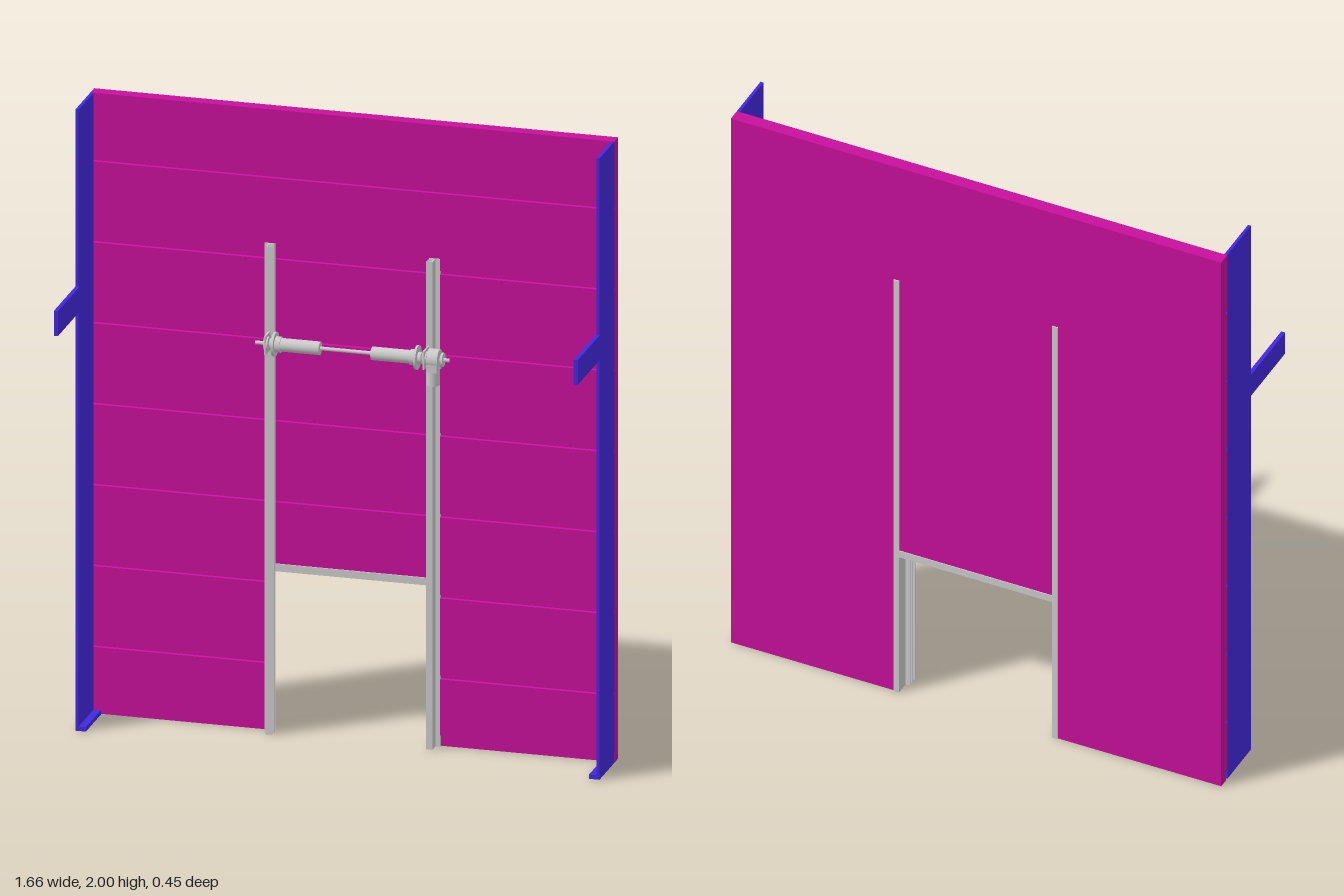
import * as THREE from 'three';

const mat = (color) => new THREE.MeshStandardMaterial({ color });

export function createModel() {
  const root = new THREE.Group();
  const wallMat = mat(0xc8109c), postMat = mat(0x4428e0), grey = mat(0xcccccc);
  const BACK = -0.222, FRONT = -0.18;

  const add = (name, geometry, material, parent = root) => {
    const mesh = new THREE.Mesh(geometry, material);
    mesh.name = name;
    parent.add(mesh);
    return mesh;
  };
  // Box given by its limits on each axis
  const box = (name, [x0, x1], [y0, y1], [z0, z1], material, parent) => {
    const g = new THREE.BoxGeometry(Math.abs(x1 - x0), y1 - y0, z1 - z0);
    g.translate((x0 + x1) / 2, (y0 + y1) / 2, (z0 + z1) / 2);
    return add(name, g, material, parent);
  };

  // Wall piece: grooved side profile (z, y) extruded along x
  const wallPiece = (name, x0, x1, y0) => {
    const pts = [[BACK, y0]];
    if (y0 === 0) pts.push([FRONT - 0.008, 0], [FRONT - 0.008, 0.036], [FRONT, 0.036]);
    else pts.push([FRONT, y0]);
    for (let i = 0; i < 7; i++) {
      const y = 0.222 + i * 0.2605;
      if (y < y0 + 0.02) continue;
      pts.push([FRONT, y - 0.006], [FRONT - 0.008, y - 0.004], [FRONT - 0.008, y + 0.004], [FRONT, y + 0.006]);
    }
    pts.push([FRONT, 2], [BACK, 2]);
    const shape = new THREE.Shape(pts.map(([z, y]) => new THREE.Vector2(z, y)));
    const g = new THREE.ExtrudeGeometry(shape, { depth: x1 - x0, bevelEnabled: false });
    g.rotateY(-Math.PI / 2).translate(x1, 0, 0);
    add(name, g, wallMat);
  };
  wallPiece('wallRight', -0.83, -0.262, 0);
  wallPiece('wallCentre', -0.262, 0.262, 0.53);
  wallPiece('wallLeft', 0.262, 0.83, 0);

  for (const s of [-1, 1]) {
    const side = s > 0 ? 'Left' : 'Right';
    const span = (a, b) => [s * a, s * b];

    // Side post with foot and projecting arm
    const post = new THREE.Group();
    post.name = 'sidePost' + side;
    root.add(post);
    box('postPlate', span(0.82, 0.83), [0, 2], [FRONT, -0.015], postMat, post);
    box('postFoot', span(0.797, 0.83), [0, 0.014], [FRONT, -0.015], postMat, post);
    box('postArm', span(0.817, 0.83), [1.35, 1.43], [-0.02, 0.223], postMat, post);

    // Door guide: jamb through the wall, with a channel on the front
    const guide = new THREE.Group();
    guide.name = 'doorGuide' + side;
    root.add(guide);
    box('jamb', span(0.259, 0.278), [0, 1.57], [-0.226, FRONT], grey, guide);
    box('guideFlange', span(0.243, 0.278), [0, 1.57], [FRONT, -0.176], grey, guide);
    box('guideWeb', span(0.259, 0.264), [0, 1.57], [-0.176, -0.143], grey, guide);
    box('guideLip', span(0.243, 0.262), [0, 1.57], [-0.147, -0.143], grey, guide);
    box('guideInnerLip', span(0.243, 0.262), [0, 1.57], [-0.166, -0.162], grey, guide);
  }
  box('lintel', [-0.26, 0.26], [0.516, 0.54], [-0.225, -0.176], grey);

  // Winding shaft assembly, built around its own axis along x
  const winder = new THREE.Group();
  winder.name = 'windingShaft';
  winder.position.set(0, 1.27, -0.112);
  root.add(winder);
  const roll = (name, x0, x1, r, sides = 24) => {
    const g = new THREE.CylinderGeometry(r, r, x1 - x0, sides);
    g.rotateZ(Math.PI / 2).translate((x0 + x1) / 2, 0, 0);
    return add(name, g, grey, winder);
  };
  roll('shaft', -0.288, 0.327, 0.006, 16);
  for (const s of [-1, 1]) {
    const part = (name, a, b, r) => roll(name, Math.min(s * a, s * b), Math.max(s * a, s * b), r);
    part('spring', 0.082, 0.215, 0.021);
    part('springCap', 0.205, 0.222, 0.025);
    part('cableDrum', 0.222, 0.229, 0.038);
    part('drumHub', 0.229, 0.24, 0.018);
    part('bearing', 0.244, 0.258, 0.022);
    box('bearingPlate', [s * 0.249, s * 0.254], [-0.03, 0.03], [-0.055, 0.025], grey, winder);
  }

  // Drive unit on the left end: gearbox with motor hanging below
  roll('gearbox', 0.262, 0.296, 0.032);
  roll('driveFlange', 0.302, 0.309, 0.022);
  box('gearboxBase', [0.261, 0.295], [-0.035, 0.01], [-0.025, 0.03], grey, winder);
  const motor = add('motor', new THREE.CylinderGeometry(0.021, 0.021, 0.055, 24), grey, winder);
  motor.position.set(0.277, -0.053, 0.005);

  return root;
}
